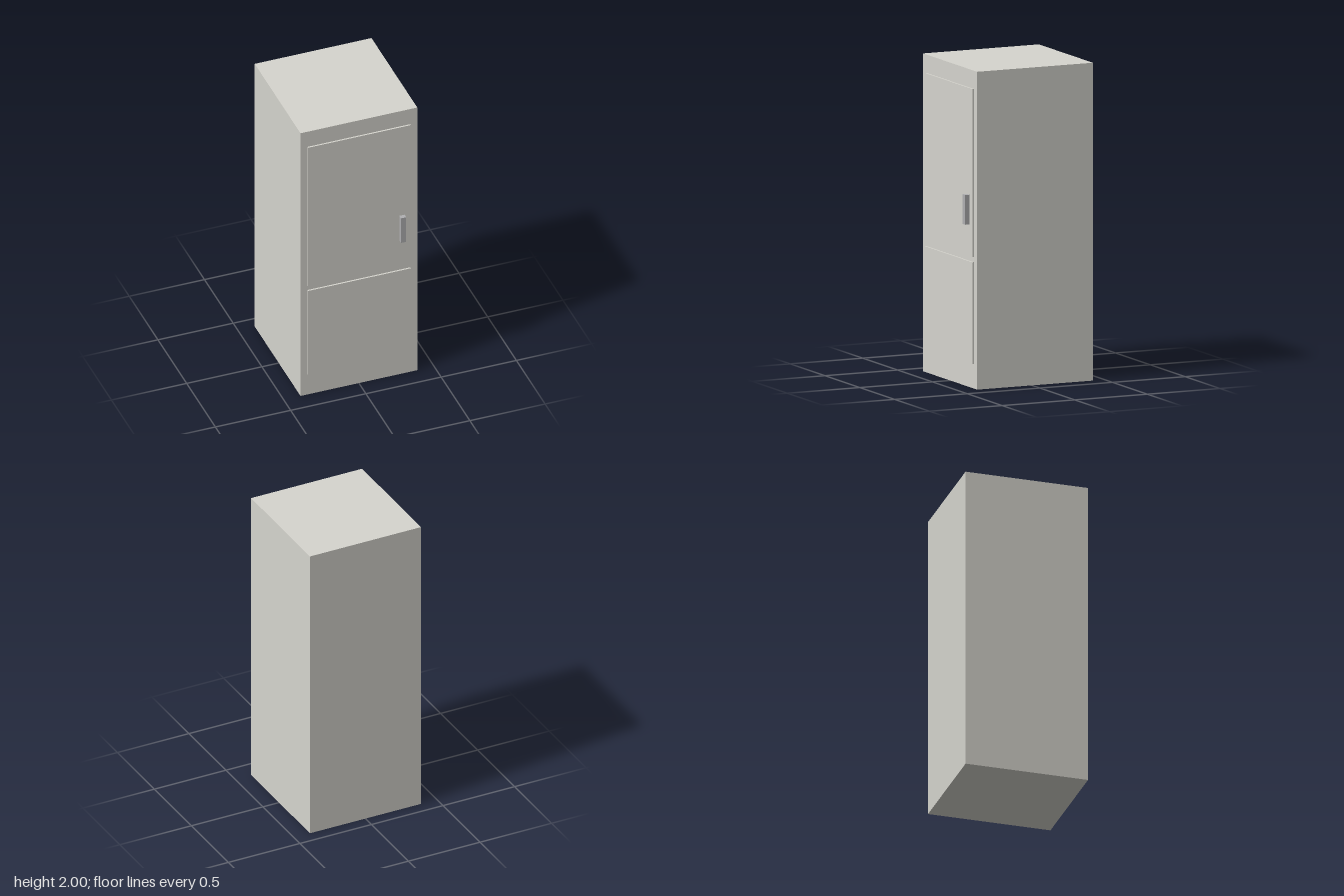
import * as THREE from 'three';

export function createModel() {
  const model = new THREE.Group();
  model.name = 'cabinet';

  const bodyMaterial = new THREE.MeshStandardMaterial({ color: 0xd6d5ce });
  const handleMaterial = new THREE.MeshStandardMaterial({ color: 0xb0b0b2 });

  // Box given by its lower and upper limits on each axis
  function addBox(name, material, [x0, x1], [y0, y1], [z0, z1]) {
    const mesh = new THREE.Mesh(new THREE.BoxGeometry(x1 - x0, y1 - y0, z1 - z0), material);
    mesh.position.set((x0 + x1) / 2, (y0 + y1) / 2, (z0 + z1) / 2);
    mesh.name = name;
    model.add(mesh);
  }

  const bodyFront = 0.378;
  const doorFront = 0.389;

  // Main carcass
  addBox('body', bodyMaterial, [-0.388, 0.388], [0, 2], [-0.419, bodyFront]);

  // Thin raised panels on the front
  const doorX = [-0.341, 0.341];
  const doorZ = [bodyFront, doorFront];
  addBox('upperDoor', bodyMaterial, doorX, [0.827, 1.885], doorZ);
  addBox('lowerDoor', bodyMaterial, doorX, [0.154, 0.795], doorZ);

  // Upright grip on the upper door
  addBox('handle', handleMaterial, [0.264, 0.299], [1.027, 1.214], [doorFront, 0.419]);

  return model;
}
